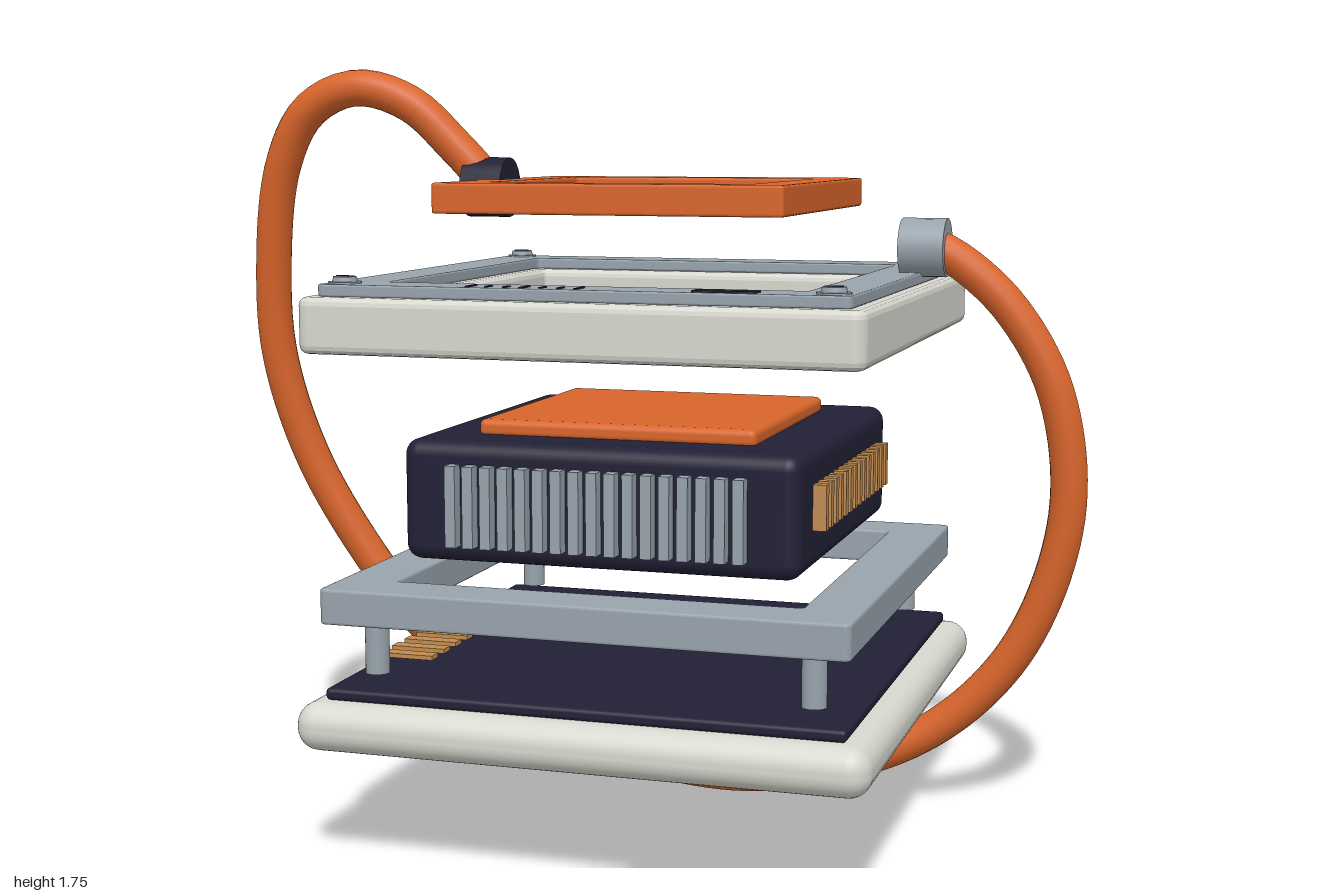
import * as THREE from 'three';
import { RoundedBoxGeometry } from 'three/addons/geometries/RoundedBoxGeometry.js';

const mat = (name, color) => {
  const m = new THREE.MeshStandardMaterial({ color });
  m.name = name;
  return m;
};

export function createModel() {
  const orange = mat('orange', 0xd9652b);
  const grey = mat('steel grey', 0x98a3ac);
  const white = mat('warm white', 0xd8d8d0);
  const navy = mat('dark navy', 0x222036);
  const bronze = mat('bronze', 0xc08c50);

  const model = new THREE.Group();
  model.name = 'explodedDevice';
  // the stacked layers share one turned frame
  const stack = new THREE.Group();
  stack.name = 'layerStack';
  stack.rotation.y = -0.2094;
  model.add(stack);

  const add = (name, geometry, material, x, y, z, parent = stack) => {
    const m = new THREE.Mesh(geometry, material);
    m.name = name;
    m.position.set(x, y, z);
    parent.add(m);
    return m;
  };
  const box = (name, w, h, d, material, x, y, z) =>
    add(name, new THREE.BoxGeometry(w, h, d), material, x, y, z);
  const rounded = (name, size, y0, y1, r, material) =>
    add(name, new RoundedBoxGeometry(size, y1 - y0, size, 4, r), material, 0, (y0 + y1) / 2, 0);

  // square outline with rounded corners
  const square = (P, size, r) => {
    const h = size / 2, p = new P();
    p.moveTo(h, -h + r);
    [[1, 1, 0], [-1, 1, 1], [-1, -1, 2], [1, -1, 3]].forEach(([sx, sy, k]) => {
      p.absarc(sx * (h - r), sy * (h - r), r, k * Math.PI / 2, (k + 1) * Math.PI / 2, false);
    });
    return p;
  };
  // flat square ring with softened edges, from y0 to y1
  const frame = (name, outer, inner, y0, y1, r, bevel, material) => {
    const shape = square(THREE.Shape, outer, r);
    shape.holes.push(square(THREE.Path, inner, 0.012));
    const g = new THREE.ExtrudeGeometry(shape, {
      depth: y1 - y0 - 2 * bevel, bevelThickness: bevel, bevelSize: bevel,
      bevelOffset: -bevel, bevelSegments: 3, curveSegments: 5,
    });
    g.rotateX(-Math.PI / 2);
    return add(name, g, material, 0, y0 + bevel, 0);
  };

  // base tray and circuit board
  rounded('baseTray', 1.28, 0.267, 0.376, 0.05, white);
  rounded('circuitBoard', 1.165, 0.376, 0.403, 0.01, navy);
  for (let i = 0; i < 10; i++)
    box('boardContact', 0.13, 0.01, 0.036, bronze, -0.5, 0.422, (i - 4.5) * 0.07);

  // middle frame on four posts
  frame('middleFrame', 1.18, 0.92, 0.547, 0.626, 0.015, 0.006, grey);
  for (const sx of [-1, 1]) for (const sz of [-1, 1])
    add('post', new THREE.CylinderGeometry(0.027, 0.027, 0.125, 20), grey, sx * 0.495, 0.4875, sz * 0.495);

  // core block with cooling fins, side contacts and pad
  rounded('coreBlock', 0.9, 0.673, 0.942, 0.035, navy);
  for (let i = 0; i < 17; i++)
    box('coolingFin', 0.024, 0.18, 0.05, grey, (i - 8) * 0.0405, 0.802, 0.457);
  for (let i = 0; i < 14; i++)
    box('sideContact', 0.05, 0.1, 0.025, bronze, 0.455, 0.816, (i - 6.5) * 0.0495);
  rounded('corePad', 0.64, 0.935, 0.975, 0.015, orange);

  // upper bezel with its face plate
  frame('upperBezel', 1.235, 0.87, 1.14, 1.262, 0.03, 0.018, white);
  frame('facePlate', 1.165, 0.93, 1.262, 1.288, 0.015, 0.004, grey);

  // corner screws: washer, head and slot
  for (const sx of [-1, 1]) for (const sz of [-1, 1]) {
    const x = sx * 0.536, z = sz * 0.536;
    add('screwWasher', new THREE.CylinderGeometry(0.036, 0.036, 0.006, 24), grey, x, 1.289, z);
    add('screwHead', new THREE.CylinderGeometry(0.025, 0.028, 0.014, 20), grey, x, 1.296, z);
    box('screwSlot', 0.038, 0.003, 0.007, navy, x, 1.3035, z);
  }

  // scale marks and dark window on the face plate
  for (let i = 0; i < 7; i++) {
    const len = i % 3 === 0 ? 0.055 : 0.035;
    box('scaleMark', 0.007, 0.004, len, navy, -0.24 + i * 0.04, 1.289, 0.55);
  }
  box('plateWindow', 0.135, 0.006, 0.042, navy, 0.316, 1.289, 0.553);

  // top ring
  frame('topRing', 0.79, 0.6, 1.433, 1.5, 0.008, 0.006, orange);

  // cable ends
  const plug = add('cablePlug', new THREE.CylinderGeometry(0.069, 0.069, 0.1, 20), navy, -0.402, 1.482, 0.025);
  const socket = add('cableSocket', new THREE.CylinderGeometry(0.068, 0.068, 0.105, 24), grey, 0.585, 1.345, -0.205);
  plug.rotation.z = socket.rotation.z = Math.PI / 2;

  // looping cable
  const path = [
    [-0.40, 1.49, -0.06], [-0.48, 1.575, -0.07], [-0.59, 1.675, -0.08], [-0.72, 1.712, -0.095],
    [-0.84, 1.66, -0.12], [-0.915, 1.53, -0.15], [-0.955, 1.28, -0.19], [-0.95, 1.06, -0.215],
    [-0.875, 0.8, -0.24], [-0.72, 0.53, -0.25], [-0.6, 0.38, -0.25], [-0.46, 0.25, -0.25],
    [-0.15, 0.1, -0.22], [0.22, 0.045, -0.18], [0.6, 0.155, -0.12], [0.835, 0.38, -0.07],
    [0.95, 0.715, -0.035], [0.92, 1.01, -0.03], [0.81, 1.21, -0.045], [0.68, 1.325, -0.065],
    [0.61, 1.355, -0.075],
  ].map((p) => new THREE.Vector3(...p));
  add('cable', new THREE.TubeGeometry(new THREE.CatmullRomCurve3(path), 160, 0.043, 16), orange, 0, 0, 0, model);

  return model;
}
